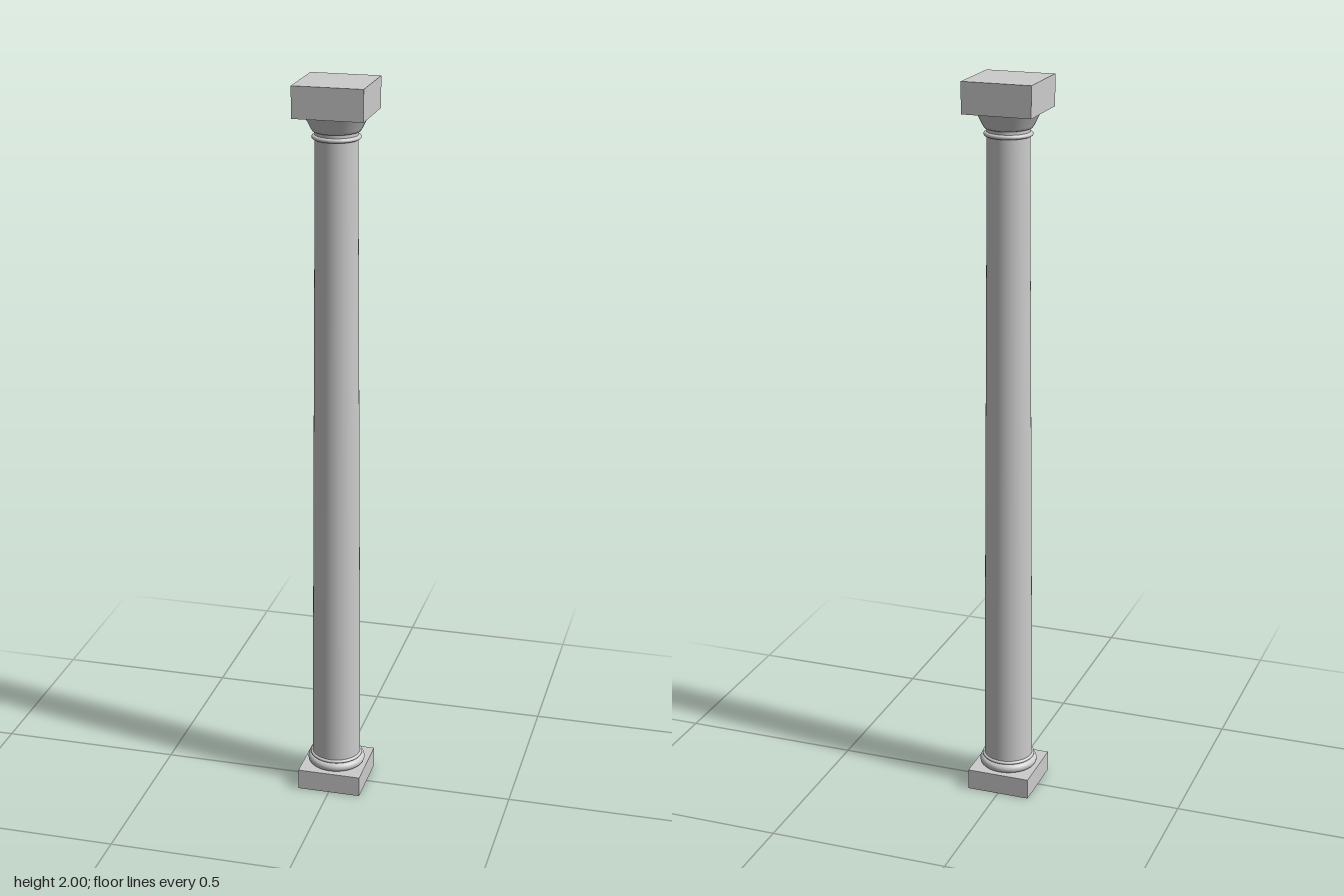
import * as THREE from 'three';

export function createModel() {
  const column = new THREE.Group();
  column.name = 'column';
  const stone = new THREE.MeshStandardMaterial({ color: 0xcccccc });
  stone.name = 'pale stone';

  const add = (name, geometry, y = 0) => {
    const mesh = new THREE.Mesh(geometry, stone);
    mesh.name = name;
    mesh.position.y = y;
    column.add(mesh);
  };
  const slab = (name, width, bottom, top) =>
    add(name, new THREE.BoxGeometry(width, top - bottom, width), (bottom + top) / 2);
  // Turned part from [radius, height] pairs, bottom to top
  const turned = (name, points) =>
    add(name, new THREE.LatheGeometry(points.map(([r, y]) => new THREE.Vector2(r, y)), 48));
  // Rounded moulding bulging out from an inner radius
  const roll = (name, inner, outer, bottom, top) => {
    const points = [[0.04, bottom]];
    for (let i = 0; i <= 10; i++) {
      const a = -Math.PI / 2 + (Math.PI * i) / 10;
      points.push([inner + (outer - inner) * Math.cos(a), (bottom + top) / 2 + ((top - bottom) / 2) * Math.sin(a)]);
    }
    points.push([0.04, top]);
    turned(name, points);
  };

  // Base
  slab('plinth', 0.177, 0, 0.058);
  roll('baseTorus', 0.068, 0.08, 0.058, 0.083);
  roll('baseFillet', 0.067, 0.073, 0.083, 0.092);

  // Shaft, gently tapering towards the top
  turned('shaft', [[0.067, 0.088], [0.0655, 0.41], [0.0625, 0.89], [0.059, 1.36], [0.0555, 1.87]]);

  // Capital
  roll('neckRing', 0.056, 0.064, 1.852, 1.864);
  turned('necking', [[0.0565, 1.862], [0.0565, 1.874]]);
  turned('echinus', [[0.056, 1.872], [0.062, 1.874], [0.067, 1.882], [0.077, 1.902], [0.086, 1.918]]);
  slab('abacus', 0.187, 1.917, 2);

  return column;
}
